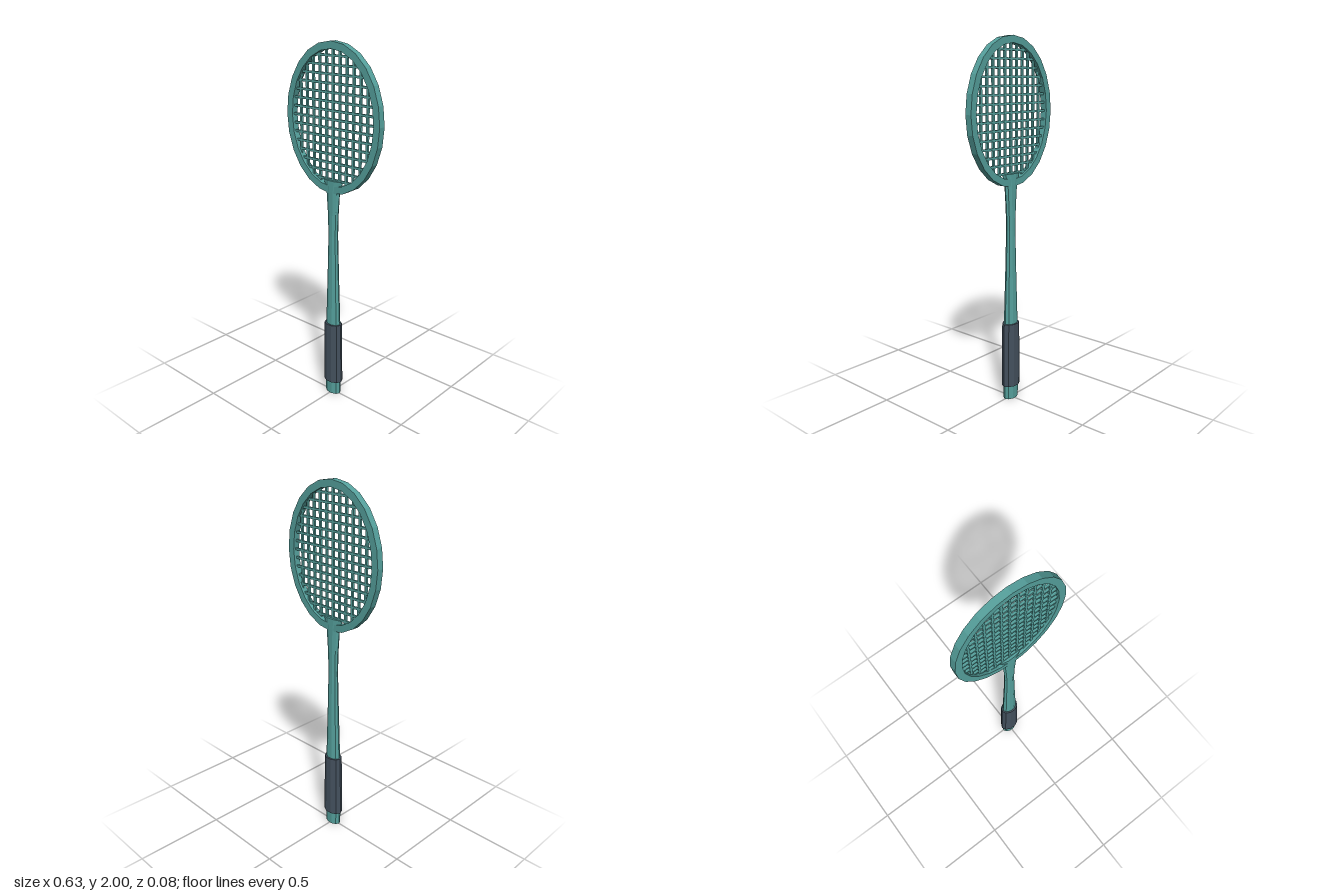
import * as THREE from 'three';

const SIDES = 24, CENTER_Y = 1.61;

// Points of a faceted ellipse around the head centre
function ellipse(rx, ry) {
  return Array.from({ length: SIDES }, (_, i) => {
    const a = (i / SIDES) * Math.PI * 2;
    return new THREE.Vector2(Math.cos(a) * rx, CENTER_Y + Math.sin(a) * ry);
  });
}

// Ten-sided bar through oval sections [y, halfWidth, halfDepth], bottom to top
function ovalBar(sections) {
  const n = sections.length - 1;
  const geo = new THREE.CylinderGeometry(1, 1, n, 10, n, false, Math.PI / 10);
  const p = geo.attributes.position;
  for (let i = 0; i < p.count; i++) {
    const [y, w, d] = sections[Math.round(p.getY(i) + n / 2)];
    p.setXYZ(i, p.getX(i) * w, y, p.getZ(i) * d);
  }
  geo.computeVertexNormals();
  return geo;
}

export function createModel() {
  const group = new THREE.Group();
  group.name = 'racket';
  const teal = new THREE.MeshStandardMaterial({ color: 0x55a09c, flatShading: true });
  teal.name = 'teal frame';
  const slate = new THREE.MeshStandardMaterial({ color: 0x44515e, flatShading: true });
  slate.name = 'slate grip';

  const add = (name, geo, mat, parent = group) => {
    const mesh = new THREE.Mesh(geo, mat);
    mesh.name = name;
    parent.add(mesh);
    return mesh;
  };

  // Oval hoop
  const hoop = new THREE.Shape(ellipse(0.317, 0.39));
  hoop.holes.push(new THREE.Path(ellipse(0.278, 0.352)));
  const hoopGeo = new THREE.ExtrudeGeometry(hoop, { depth: 0.038, bevelEnabled: false });
  hoopGeo.translate(0, 0, -0.019);
  add('headFrame', hoopGeo, teal);

  // Shaft, waisted in the middle and flaring into the hoop
  add('shaft', ovalBar([
    [0, 0.049, 0.032], [0.08, 0.05, 0.033], [0.45, 0.046, 0.031],
    [0.75, 0.036, 0.025], [0.98, 0.03, 0.021], [1.1, 0.034, 0.021],
    [1.23, 0.045, 0.022], [1.29, 0.068, 0.021],
  ]), teal);

  // Wrapped grip
  add('grip', ovalBar([[0.08, 0.06, 0.043], [0.45, 0.055, 0.041]]), slate);

  // String bed, each string ending inside the hoop
  const strings = new THREE.Group();
  strings.name = 'strings';
  group.add(strings);
  const step = 0.0455, thick = 0.012, rx = 0.29, ry = 0.365;
  for (let i = -5; i <= 5; i++) {
    const x = i * step;
    const len = 2 * ry * Math.sqrt(1 - (x / rx) ** 2);
    add('mainString', new THREE.BoxGeometry(thick, len, thick), teal, strings).position.set(x, CENTER_Y, 0);
  }
  for (let i = -7; i <= 7; i++) {
    const y = i * step;
    const len = 2 * rx * Math.sqrt(1 - (y / ry) ** 2);
    add('crossString', new THREE.BoxGeometry(len, thick, thick), teal, strings).position.set(0, CENTER_Y + y, 0);
  }
  return group;
}
